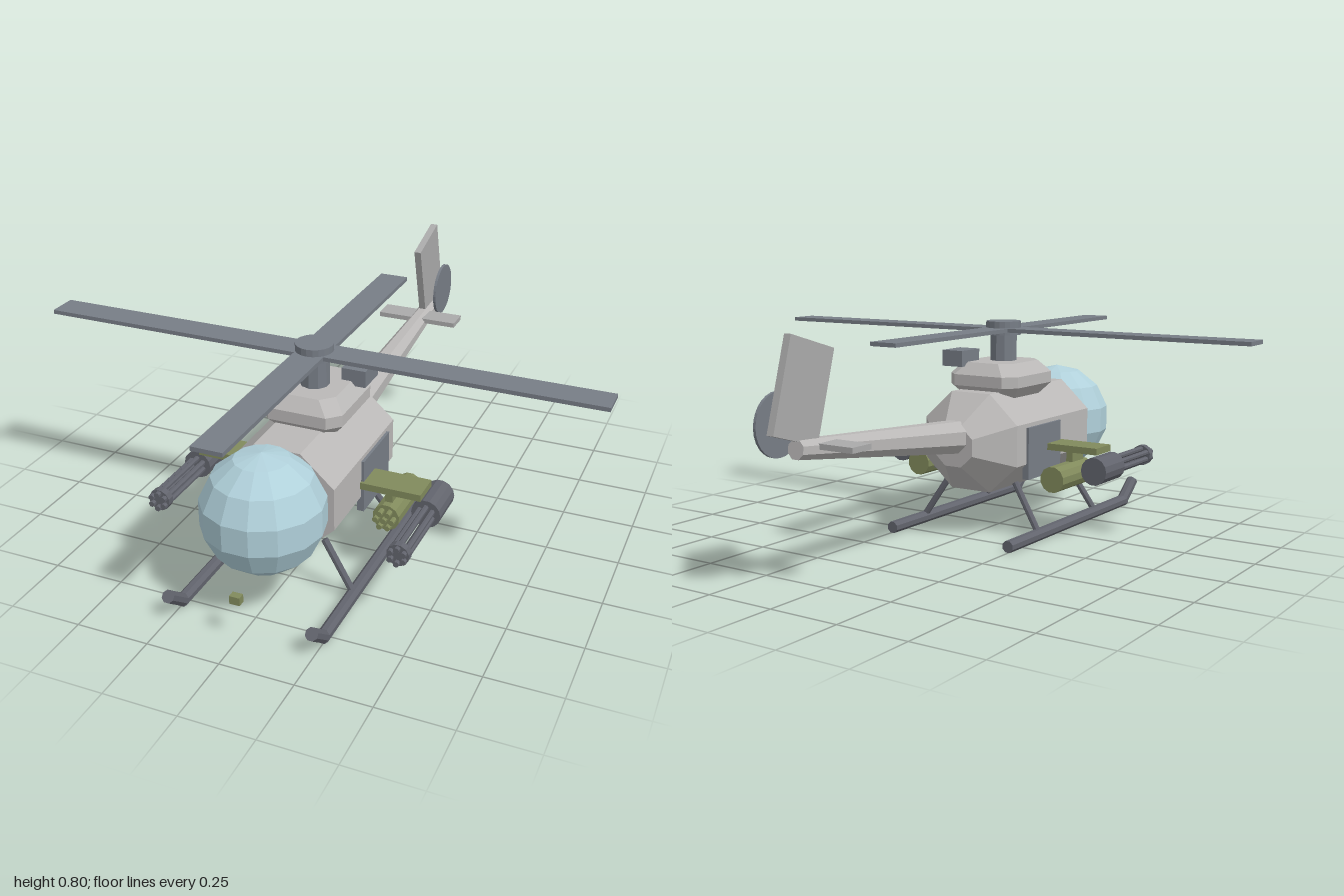
import * as THREE from 'three';

const mat = (name, color) => {
  const m = new THREE.MeshStandardMaterial({ color, flatShading: true });
  m.name = name;
  return m;
};

export function createModel() {
  const hull = mat('hullGrey', 0xbab8b7);
  const finGrey = mat('finGrey', 0xaaaaaa);
  const glass = mat('canopyBlue', 0xb0d0da);
  const steel = mat('steelGrey', 0x777d86);
  const dark = mat('darkMetal', 0x62646d);
  const olive = mat('olive', 0x818a5c);

  const root = new THREE.Group();
  root.name = 'helicopter';

  const add = (name, geo, material, x = 0, y = 0, z = 0, parent = root) => {
    const m = new THREE.Mesh(geo, material);
    m.name = name;
    m.position.set(x, y, z);
    parent.add(m);
    return m;
  };
  const box = (name, material, w, h, d, x, y, z, parent) =>
    add(name, new THREE.BoxGeometry(w, h, d), material, x, y, z, parent);
  // Cylinder along z, from z0 to z1
  const barrel = (name, material, r0, r1, z0, z1, x, y, sides = 12, parent = root) => {
    const g = new THREE.CylinderGeometry(r1, r0, z1 - z0, sides);
    g.rotateY(Math.PI / sides).rotateX(Math.PI / 2);
    return add(name, g, material, x, y, (z0 + z1) / 2, parent);
  };
  // Round bar between two points
  const rod = (name, material, a, b, ra, rb = ra, sides = 8, parent = root) => {
    const p = new THREE.Vector3(...a), q = new THREE.Vector3(...b);
    const d = q.clone().sub(p);
    const g = new THREE.CylinderGeometry(rb, ra, d.length(), sides);
    g.rotateY(Math.PI / sides);
    const m = add(name, g, material, 0, 0, 0, parent);
    m.position.copy(p).add(q).multiplyScalar(0.5);
    m.quaternion.setFromUnitVectors(new THREE.Vector3(0, 1, 0), d.normalize());
    return m;
  };

  // Octagonal cabin with a tapered rear, and the round canopy
  barrel('cabin', hull, 0.211, 0.211, 0.055, 0.57, 0, 0.343, 8).scale.y = 0.908;
  barrel('cabinRear', hull, 0.087, 0.211, -0.058, 0.055, 0, 0.343, 8).scale.y = 0.908;
  add('canopy', new THREE.SphereGeometry(0.205, 14, 7), glass, 0, 0.357, 0.672);
  box('noseSensor', olive, 0.035, 0.028, 0.026, 0, 0.155, 0.872);

  // Tail
  rod('tailBoom', hull, [0, 0.37, 0], [0, 0.455, -0.875], 0.063, 0.032);
  box('stabilizer', finGrey, 0.314, 0.018, 0.09, 0, 0.457, -0.76);
  box('tailFin', finGrey, 0.026, 0.3, 0.2, 0, 0.627, -0.845).rotation.x = 0.285;
  const disc = new THREE.CylinderGeometry(0.1, 0.1, 0.01, 28).rotateZ(Math.PI / 2);
  add('tailRotor', disc, steel, 0.044, 0.53, -0.9);

  // Engine housing: stacked chamfered rectangles
  const rings = [[0.49, 0.105, 0.125], [0.535, 0.143, 0.16], [0.575, 0.143, 0.16], [0.618, 0.105, 0.125]];
  const pos = [], idx = [], c = 0.042;
  for (const [y, w, d] of rings) {
    for (const [x, z] of [[w, d - c], [w - c, d], [c - w, d], [-w, d - c],
      [-w, c - d], [c - w, -d], [w - c, -d], [w, c - d]]) pos.push(x, y, z);
  }
  for (let r = 0; r < 3; r++) for (let i = 0; i < 8; i++) {
    const a = r * 8 + i, b = r * 8 + (i + 1) % 8;
    idx.push(a, a + 8, b, b, a + 8, b + 8);
  }
  for (let i = 1; i < 7; i++) idx.push(24, 24 + i + 1, 24 + i, 0, i, i + 1);
  const housing = new THREE.BufferGeometry();
  housing.setAttribute('position', new THREE.Float32BufferAttribute(pos, 3));
  // Rings run clockwise seen from above, so reverse every triangle
  for (let i = 0; i < idx.length; i += 3) [idx[i + 1], idx[i + 2]] = [idx[i + 2], idx[i + 1]];
  for (let i = 0; i < idx.length; i += 3) {
    // Make each face point away from the housing centre
    const [A, B, C] = [0, 1, 2].map(k => new THREE.Vector3().fromArray(pos, idx[i + k] * 3));
    const n = B.clone().sub(A).cross(C.clone().sub(A));
    const out = A.clone().add(B).add(C).divideScalar(3).sub(new THREE.Vector3(0, 0.555, 0));
    if (n.dot(out) < 0) [idx[i + 1], idx[i + 2]] = [idx[i + 2], idx[i + 1]];
  }
  housing.setIndex(idx);
  housing.computeVertexNormals();
  add('engineHousing', housing, hull, 0, 0, 0.26);
  box('engineIntake', steel, 0.085, 0.058, 0.115, 0.113, 0.631, 0.16);

  // Main rotor
  const rotor = new THREE.Group();
  rotor.name = 'mainRotor';
  rotor.position.z = 0.273;
  root.add(rotor);
  add('mast', new THREE.CylinderGeometry(0.05, 0.05, 0.13, 10), steel, 0, 0.655, 0, rotor);
  add('hub', new THREE.CylinderGeometry(0.064, 0.064, 0.05, 20), steel, 0, 0.737, 0, rotor);
  box('bladesAcross', steel, 1.94, 0.014, 0.102, 0, 0.731, -0.003, rotor);
  box('bladesAlong', steel, 0.102, 0.014, 1.452, 0, 0.731, 0.001, rotor);

  for (const s of [-1, 1]) {
    const side = new THREE.Group();
    side.name = s > 0 ? 'leftSide' : 'rightSide';
    root.add(side);

    // Side door and weapon wing
    box('door', steel, 0.025, 0.187, 0.228, s * 0.192, 0.308, 0.232, side);
    box('wing', olive, 0.215, 0.024, 0.108, s * 0.297, 0.316, 0.303, side);

    // Rocket pod with tubes at its front
    box('podPylon', olive, 0.025, 0.05, 0.08, s * 0.29, 0.285, 0.3, side);
    barrel('rocketPod', olive, 0.047, 0.047, 0.135, 0.365, s * 0.29, 0.222, 12, side);
    for (let i = 0; i < 7; i++) {
      const a = i * Math.PI / 3, r = i < 6 ? 0.028 : 0;
      barrel('rocketTube', olive, 0.01, 0.01, 0.36, 0.392,
        s * 0.29 + r * Math.cos(a), 0.222 + r * Math.sin(a), 8, side);
    }

    // Rotary gun
    const gx = s * 0.42, gy = 0.255;
    barrel('gunBody', dark, 0.05, 0.05, 0.2, 0.345, gx, gy, 14, side);
    for (let i = 0; i < 6; i++) {
      const a = i * Math.PI / 3 + Math.PI / 6;
      barrel('gunBarrel', dark, 0.01, 0.01, 0.34, 0.618,
        gx + 0.025 * Math.cos(a), gy + 0.025 * Math.sin(a), 8, side);
    }
    barrel('gunRing', dark, 0.038, 0.038, 0.578, 0.603, gx, gy, 12, side);

    // Landing skid with upturned tip and two struts
    const sx = s * 0.247;
    rod('skid', dark, [sx, 0.022, -0.088], [sx, 0.022, 0.79], 0.022, 0.022, 8, side);
    rod('skidTip', dark, [sx, 0.022, 0.78], [sx, 0.09, 0.865], 0.022, 0.022, 8, side);
    for (const [z0, z1] of [[0.54, 0.522], [0.117, 0.135]]) {
      rod('strut', dark, [sx, 0.03, z0], [s * 0.14, 0.195, z1], 0.012, 0.012, 8, side);
    }
  }
  return root;
}
